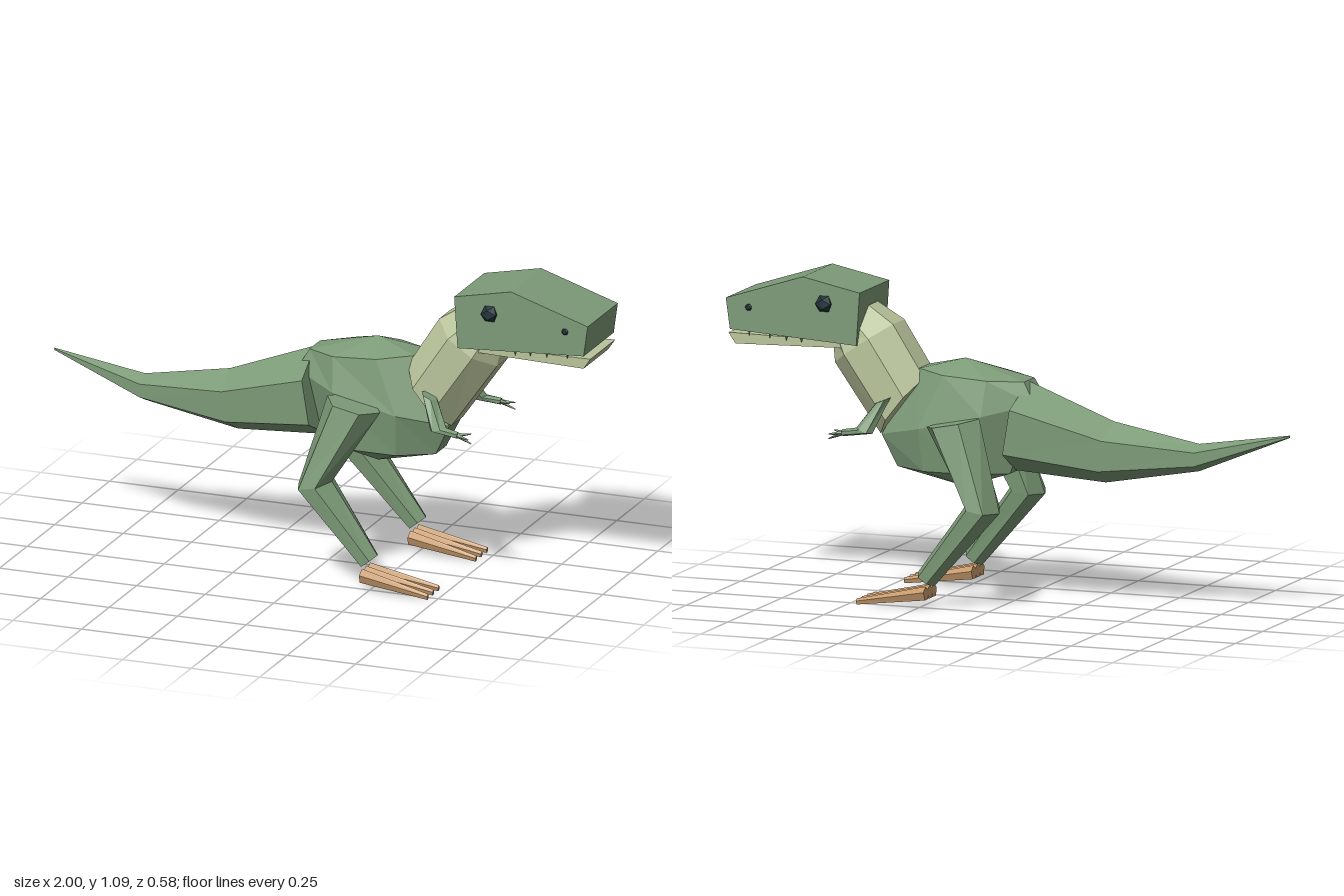
import * as THREE from 'three';

const mat = (name, color) => {
  const m = new THREE.MeshStandardMaterial({ color, flatShading: true });
  m.name = name;
  return m;
};

// Closed faceted loft. Each section is [x, y, z, tilt, ru, rz]: a polygon spanned
// by the direction at angle tilt in the x-y plane (radius ru) and by z (radius rz).
function loft(sections, sides, offset = 0) {
  const rings = sections.map(([x, y, z, a, ru, rz]) =>
    Array.from({ length: sides }, (_, i) => {
      const t = ((i + offset) / sides) * Math.PI * 2;
      const c = Math.cos(t) * ru;
      return new THREE.Vector3(x + Math.cos(a) * c, y + Math.sin(a) * c, z + Math.sin(t) * rz);
    }));
  const centre = (s) => new THREE.Vector3(s[0], s[1], s[2]);
  const tris = [];
  const add = (a, b, c) => {
    const n = b.clone().sub(a).cross(c.clone().sub(a));
    if (n.length() > 1e-9) tris.push([a, b, c]);
  };
  const first = centre(sections[0]);
  const last = centre(sections[sections.length - 1]);
  for (let i = 0; i < sides; i++) {
    const j = (i + 1) % sides;
    for (let k = 0; k + 1 < rings.length; k++) {
      const [p, q] = [rings[k], rings[k + 1]];
      add(p[i], p[j], q[j]);
      add(p[i], q[j], q[i]);
    }
    const end = rings[rings.length - 1];
    add(first, rings[0][j], rings[0][i]);
    add(last, end[i], end[j]);
  }
  // Turn all faces outward
  let volume = 0;
  for (const [a, b, c] of tris) {
    volume += a.clone().sub(first).dot(b.clone().sub(first).cross(c.clone().sub(first)));
  }
  const points = tris.flatMap(([a, b, c]) => (volume < 0 ? [a, c, b] : [a, b, c]));
  const g = new THREE.BufferGeometry().setFromPoints(points);
  g.computeVertexNormals();
  return g;
}

// Side profile extruded evenly across z
function slab(points, halfWidth) {
  const shape = new THREE.Shape(points.map(([x, y]) => new THREE.Vector2(x, y)));
  const g = new THREE.ExtrudeGeometry(shape, { depth: halfWidth * 2, bevelEnabled: false });
  return g.translate(0, 0, -halfWidth);
}

export function createModel() {
  const model = new THREE.Group();
  model.name = 'dinosaur';
  const green = mat('green skin', 0x7d9b78);
  const cream = mat('pale throat', 0xb9c49b);
  const tan = mat('tan feet', 0xc4996a);
  const dark = mat('dark eyes', 0x22353a);

  const put = (name, geometry, material, parent = model) => {
    const mesh = new THREE.Mesh(geometry, material);
    mesh.name = name;
    parent.add(mesh);
    return mesh;
  };

  // Body: stacked rings from belly to back
  put('body', loft([
    [0.18, 0.382, 0, 0, 0, 0],
    [0.205, 0.445, 0, 0, 0.222, 0.125],
    [0.185, 0.622, 0, -0.24, 0.31, 0.154],
    [0.14, 0.775, 0, 0.06, 0.207, 0.125],
    [0.18, 0.825, 0, 0, 0, 0],
  ], 8, 0.5), green);

  // Tail: six-sided, tapering to the tip
  put('tail', loft([
    [-0.025, 0.605, 0, 1.73, 0.157, 0.175],
    [-0.345, 0.535, 0, 1.71, 0.107, 0.115],
    [-0.67, 0.537, 0, 1.57, 0.047, 0.058],
    [-1, 0.63, 0, 1.5, 0.004, 0.004],
  ], 6), green);

  // Neck
  put('neck', loft([
    [0.39, 0.655, 0, -0.9, 0.138, 0.14],
    [0.53, 0.86, 0, -0.6, 0.138, 0.138],
    [0.585, 0.925, 0, -0.85, 0.1, 0.11],
  ], 8, 0.5), cream);

  // Head and jaw
  put('head', slab([[0.525, 0.865], [0.985, 0.893], [1, 1], [0.72, 1.09], [0.513, 1.047]], 0.137), green);
  put('jaw', slab([[0.56, 0.85], [0.975, 0.84], [1, 0.877], [0.56, 0.872]], 0.112), cream);

  for (const s of [1, -1]) {
    const side = new THREE.Group();
    side.name = s > 0 ? 'leftSide' : 'rightSide';
    model.add(side);

    // Eye and nostril
    const eye = put('eye', new THREE.IcosahedronGeometry(0.032, 0), dark, side);
    eye.position.set(0.642, 1.002, s * 0.137);
    eye.scale.z = 0.8;
    const nostril = put('nostril', new THREE.IcosahedronGeometry(0.014, 0), dark, side);
    nostril.position.set(0.917, 0.972, s * 0.135);
    nostril.scale.z = 0.7;

    // Teeth
    for (const x of [0.73, 0.785, 0.845, 0.92]) {
      const tooth = put('tooth', new THREE.ConeGeometry(0.01, 0.036, 4), green, side);
      tooth.rotation.x = Math.PI;
      tooth.position.set(x, 0.877 + (x - 0.73) * 0.06, s * 0.122);
    }

    // Leg: thigh, knee, ankle
    put('leg', loft([
      [0.16, 0.63, s * 0.17, -0.2, 0.098, 0.085],
      [0.035, 0.347, s * 0.21, 0.18, 0.062, 0.092],
      [0.237, 0.096, s * 0.22, 0.65, 0.037, 0.046],
    ], 6), green, side);

    // Three toes
    for (const k of [-1, 0, 1]) {
      put('toe', loft([
        [0.223, 0.052, s * (0.22 + k * 0.037), 1.5, 0.025, 0.025],
        [0.47, 0.011, s * (0.22 + k * 0.05), 1.5, 0.011, 0.008],
      ], 5), tan, side);
    }

    // Arm: shoulder, elbow, wrist
    put('arm', loft([
      [0.425, 0.685, s * 0.142, -0.4, 0.03, 0.03],
      [0.475, 0.585, s * 0.188, 0.3, 0.03, 0.024],
      [0.55, 0.575, s * 0.197, 1.5, 0.012, 0.014],
    ], 6), green, side);

    // Claws
    for (const [x, y, z] of [[0.6, 0.552, 0.2], [0.59, 0.578, 0.175], [0.595, 0.57, 0.215]]) {
      put('claw', loft([
        [0.545, 0.575, s * 0.197, 1.5, 0.008, 0.008],
        [x, y, s * z, 1.5, 0.002, 0.002],
      ], 4), green, side);
    }
  }
  return model;
}
